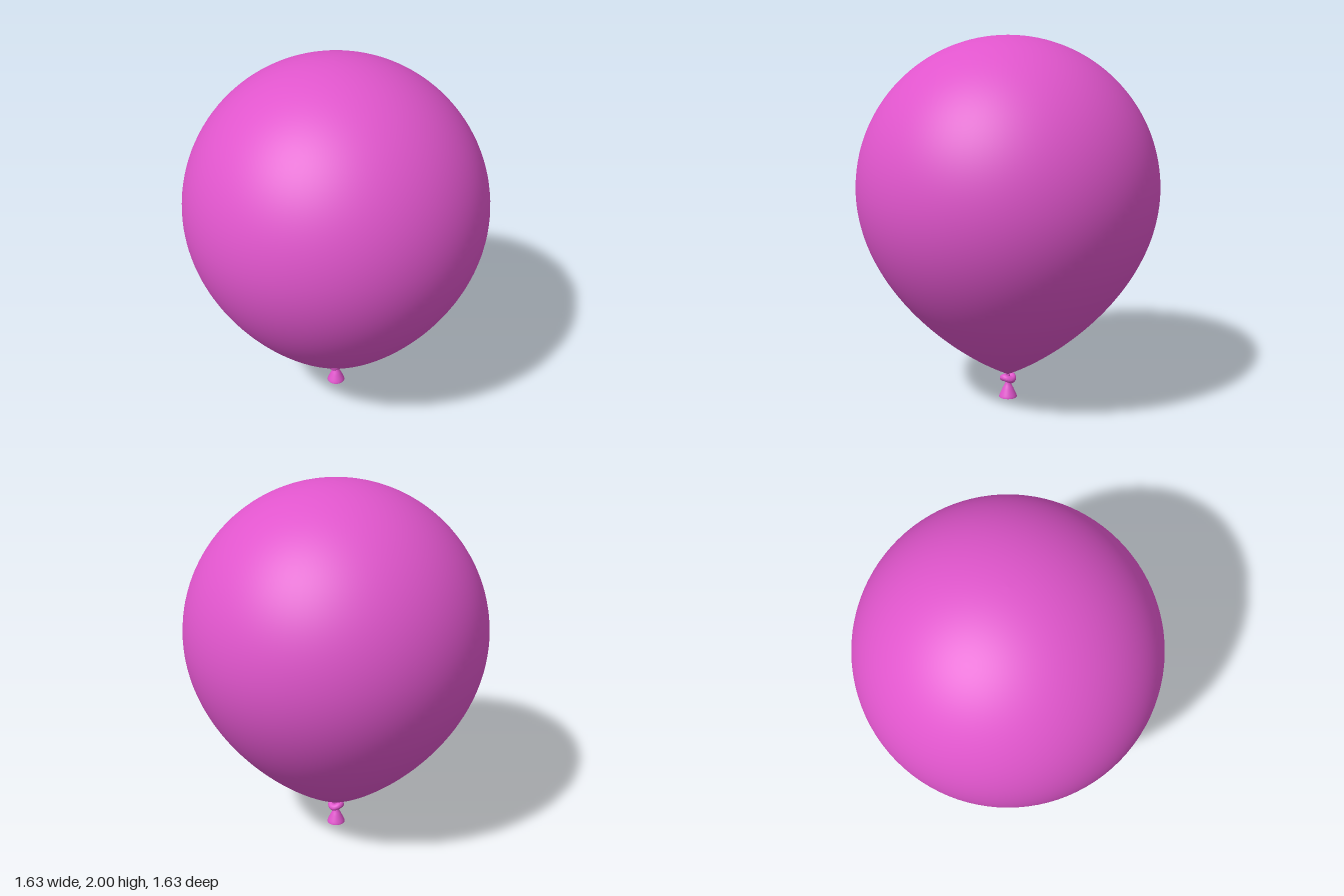
import * as THREE from 'three';

const R = 0.813, MID = 1.187, TIP = 0.13;

export function createModel() {
  const group = new THREE.Group();
  const material = new THREE.MeshStandardMaterial({ color: 0xe055cc, side: THREE.DoubleSide });
  const add = (name, geometry) => {
    const mesh = new THREE.Mesh(geometry, material);
    mesh.name = name;
    group.add(mesh);
    return mesh;
  };

  // Balloon skin: tapered lower half, then a round upper half
  const taper = new THREE.CubicBezierCurve(
    new THREE.Vector2(0, TIP), new THREE.Vector2(0.36, 0.31),
    new THREE.Vector2(R, 0.7), new THREE.Vector2(R, MID));
  const profile = taper.getPoints(40);
  for (let i = 1; i <= 32; i++) {
    const a = (i / 32) * Math.PI / 2;
    profile.push(new THREE.Vector2(i === 32 ? 0 : R * Math.cos(a), MID + R * Math.sin(a)));
  }
  add('balloon', new THREE.LatheGeometry(profile, 96));

  // Knot: a small ring whose sides rise and whose front and back dip
  const ring = new THREE.TorusGeometry(0.026, 0.02, 20, 48).rotateX(Math.PI / 2);
  const p = ring.attributes.position;
  for (let i = 0; i < p.count; i++) {
    const angle = Math.atan2(p.getZ(i), p.getX(i));
    p.setY(i, p.getY(i) + 0.006 * Math.cos(2 * angle));
  }
  ring.computeVertexNormals();
  add('knot', ring).position.y = 0.11;

  // Flared mouth below the knot
  const flare = new THREE.SplineCurve([[0.05, 0], [0.047, 0.012], [0.03, 0.05], [0.014, 0.085], [0.01, 0.13]]
    .map(([x, y]) => new THREE.Vector2(x, y)));
  add('mouth', new THREE.LatheGeometry(flare.getPoints(20), 48));

  // Underside of the mouth
  add('mouthBase', new THREE.CircleGeometry(0.05, 48).rotateX(Math.PI / 2));

  return group;
}
